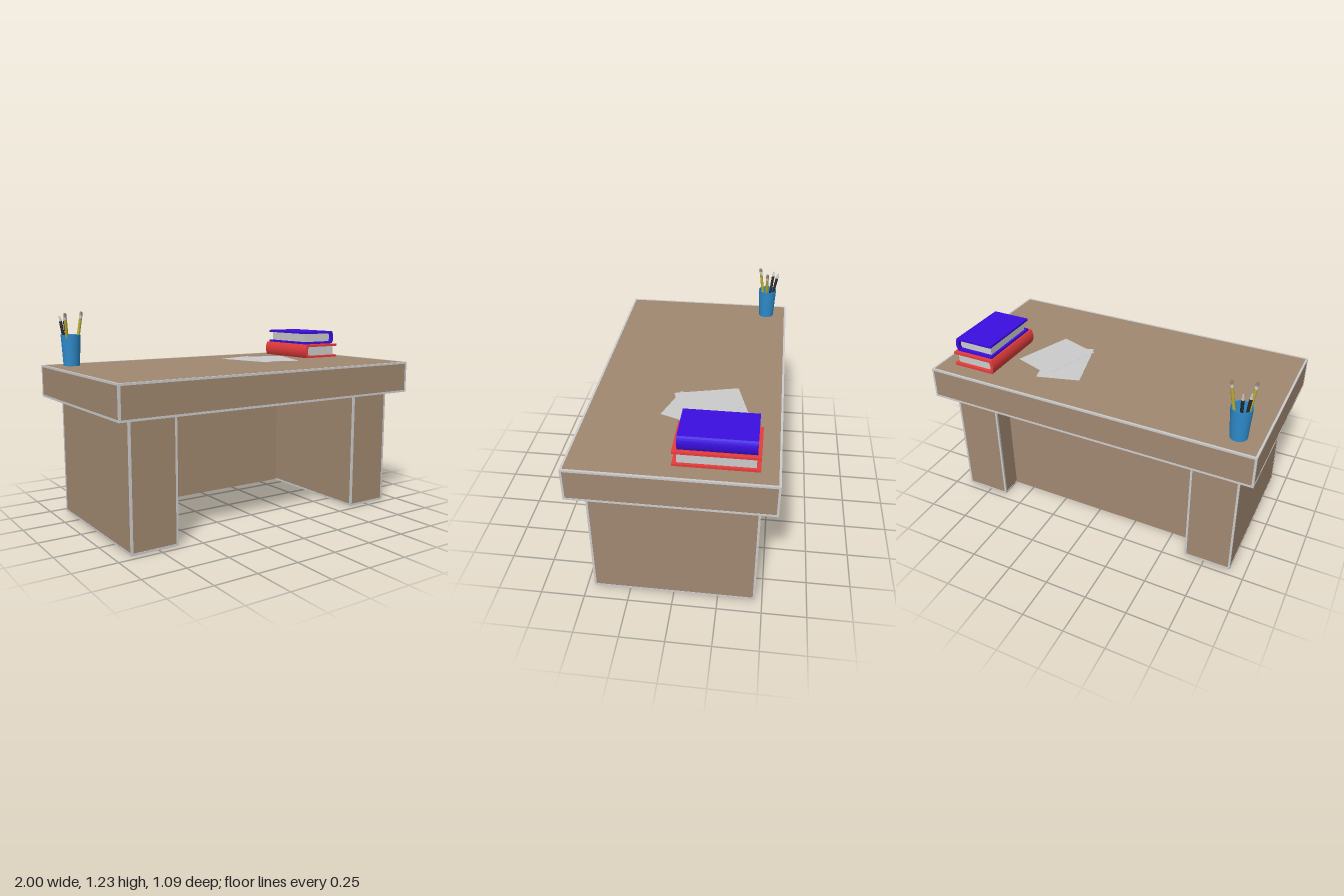
import * as THREE from 'three';

const mat = (color, side = THREE.FrontSide) => new THREE.MeshStandardMaterial({ color, side });
const GREY = mat(0xcccccc), WOOD = mat(0xa08870), RED = mat(0xe63c3c), BLUE = mat(0x3a0ee0);
const YELLOW = mat(0xb5a832), BLACK = mat(0x2b2b2b), ERASER = mat(0xa08078);

function add(parent, name, geometry, material) {
  const mesh = new THREE.Mesh(geometry, material);
  mesh.name = name;
  parent.add(mesh);
  return mesh;
}

// Box given by its minimum and maximum corners
function box(parent, name, a, b, material) {
  const mesh = add(parent, name, new THREE.BoxGeometry(b[0] - a[0], b[1] - a[1], b[2] - a[2]), material);
  mesh.position.set((a[0] + b[0]) / 2, (a[1] + b[1]) / 2, (a[2] + b[2]) / 2);
  return mesh;
}

// Wooden box with a thin grey strip along each of its twelve edges
function trimmedBox(parent, name, a, b) {
  const group = new THREE.Group();
  group.name = name;
  parent.add(group);
  const inset = 0.002, w = 0.012;
  box(group, name + 'Body', a.map(v => v + inset), b.map(v => v - inset), WOOD);
  for (let axis = 0; axis < 3; axis++) {
    const u = (axis + 1) % 3, v = (axis + 2) % 3;
    for (const i of [0, 1]) for (const j of [0, 1]) {
      const lo = [...a], hi = [...b];
      if (i) lo[u] = b[u] - w; else hi[u] = a[u] + w;
      if (j) lo[v] = b[v] - w; else hi[v] = a[v] + w;
      box(group, name + 'Edge', lo, hi, GREY);
    }
  }
}

// Book with a C-shaped cover (rounded spine on the -x side) and a page block
function book(name, width, height, depth, cover) {
  const group = new THREE.Group();
  group.name = name;
  const t = 0.014, bulge = 0.012, h = height, w = width / 2;
  const s = new THREE.Shape();
  s.moveTo(w, 0);
  s.lineTo(w, t);
  s.lineTo(-w + bulge + t, t);
  s.quadraticCurveTo(-w + t - 0.002, h / 2, -w + bulge + t, h - t);
  s.lineTo(w, h - t);
  s.lineTo(w, h);
  s.lineTo(-w + bulge, h);
  s.quadraticCurveTo(-w - bulge, h / 2, -w + bulge, 0);
  const geo = new THREE.ExtrudeGeometry(s, { depth, bevelEnabled: false, curveSegments: 8 });
  geo.translate(0, 0, -depth / 2);
  add(group, name + 'Cover', geo, cover);
  const e = 0.022;
  box(group, name + 'Pages', [-w + 0.02, t, -depth / 2 + e], [w - 0.015, h - t, depth / 2 - e], GREY);
  return group;
}

// Stick in local +y from a base point towards a tip point, made of [name, length, r0, r1, material] pieces
function stick(parent, name, base, tip, pieces) {
  const group = new THREE.Group();
  group.name = name;
  const from = new THREE.Vector3(...base), dir = new THREE.Vector3(...tip).sub(from);
  const scale = dir.length() / pieces.reduce((sum, p) => sum + p[1], 0);
  let y = 0;
  for (const [part, length, r0, r1, material] of pieces) {
    const len = length * scale;
    add(group, part, new THREE.CylinderGeometry(r1, r0, len, 10), material).position.y = y + len / 2;
    y += len;
  }
  group.position.copy(from);
  group.quaternion.setFromUnitVectors(new THREE.Vector3(0, 1, 0), dir.normalize());
  parent.add(group);
}

// Thin paper sheet from its top-view corners [x, z]
function sheet(parent, corners, y) {
  const shape = new THREE.Shape(corners.map(([x, z]) => new THREE.Vector2(x, -z)));
  const geo = new THREE.ExtrudeGeometry(shape, { depth: 0.001, bevelEnabled: false });
  geo.rotateX(-Math.PI / 2);
  add(parent, 'paperSheet', geo, GREY).position.y = y;
}

export function createModel() {
  const model = new THREE.Group();
  model.name = 'desk';

  // Desk top, pedestals and recessed back panel
  trimmedBox(model, 'deskTop', [-1, 0.72, -0.547], [1, 0.912, 0.547]);
  trimmedBox(model, 'leftPedestal', [0.63, 0, -0.46], [0.91, 0.722, 0.46]);
  trimmedBox(model, 'rightPedestal', [-0.91, 0, -0.46], [-0.63, 0.722, 0.46]);
  box(model, 'backPanel', [-0.632, 0.004, -0.33], [0.632, 0.722, -0.32], WOOD);

  // Loose papers
  sheet(model, [[0.14, -0.285], [0.39, -0.355], [0.485, 0.01], [0.235, 0.08]], 0.912);
  sheet(model, [[0.59, -0.225], [0.46, 0.125], [0.215, 0.043], [0.345, -0.307]], 0.914);

  // Stacked books with spines on opposite sides
  const lower = book('lowerBook', 0.275, 0.088, 0.445, RED);
  lower.position.set(0.763, 0.912, -0.222);
  const upper = book('upperBook', 0.25, 0.083, 0.4, BLUE);
  upper.position.set(0.768, 1.003, -0.225);
  upper.rotation.y = Math.PI;
  model.add(lower, upper);

  // Pencil cup
  const cup = new THREE.Group();
  cup.name = 'pencilCup';
  const profile = [[0, 0], [0.048, 0], [0.059, 0.185], [0.055, 0.185], [0.045, 0.006], [0, 0.006]]
    .map(([r, y]) => new THREE.Vector2(r, y));
  // Separate lathe per profile segment keeps the rim sharp
  for (let i = 0; i < profile.length - 1; i++) {
    add(cup, 'cupWall', new THREE.LatheGeometry([profile[i], profile[i + 1]], 28), mat(0x2e8ccc, THREE.DoubleSide));
  }
  cup.position.set(-0.86, 0.912, -0.41);
  model.add(cup);

  // Pencils with erasers, and dark brushes with pale tips
  const pencil = [['pencilShaft', 0.27, 0.009, 0.009, YELLOW], ['ferrule', 0.018, 0.0095, 0.0095, GREY],
    ['eraser', 0.022, 0.0095, 0.008, ERASER]];
  const brush = [['brushHandle', 0.25, 0.008, 0.009, BLACK], ['brushTip', 0.032, 0.009, 0.004, GREY]];
  stick(model, 'pencil', [-0.878, 0.925, -0.398], [-0.912, 1.225, -0.355], pencil);
  stick(model, 'pencil', [-0.842, 0.925, -0.405], [-0.79, 1.232, -0.405], pencil);
  stick(model, 'brush', [-0.865, 0.925, -0.42], [-0.875, 1.21, -0.475], brush);
  stick(model, 'brush', [-0.875, 0.925, -0.415], [-0.912, 1.208, -0.446], brush);

  return model;
}
